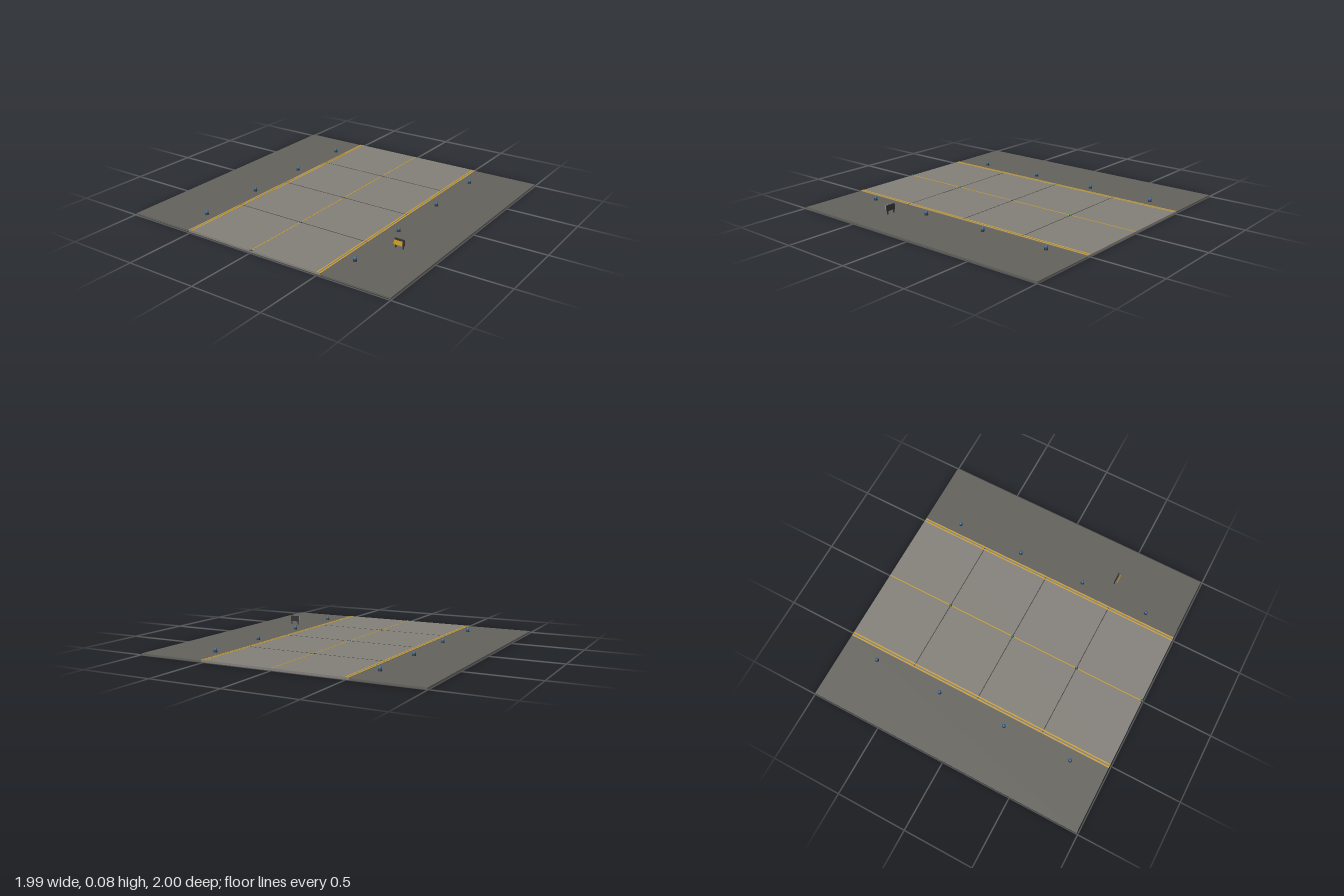
import * as THREE from 'three';

const mat = (color) => new THREE.MeshStandardMaterial({ color });

export function createModel() {
  const root = new THREE.Group();
  const M = {
    concrete: mat(0x827e78), shoulder: mat(0x62605a), joint: mat(0x3c3c3c),
    yellow: mat(0xd0a028), dark: mat(0x333333), blue: mat(0x2f6596), green: mat(0x3fa060),
  };
  const ZC = -0.005; // slab centre, the front inset light overhangs the edge
  const HALF = 0.995, ROAD = 0.52, TOP = 0.014, SIDE_TOP = 0.011;

  const add = (name, geometry, material, x, y, z, parent = root) => {
    const mesh = new THREE.Mesh(geometry, material);
    mesh.name = name;
    mesh.position.set(x, y, z);
    parent.add(mesh);
    return mesh;
  };
  // Box given by its centre x/z and its bottom and top heights
  const box = (name, material, x, z, w, d, y0, y1, parent) =>
    add(name, new THREE.BoxGeometry(w, y1 - y0, d), material, x, (y0 + y1) / 2, z, parent);

  // Pavement and lower shoulders
  box('pavement', M.concrete, 0, ZC, ROAD * 2, HALF * 2, 0, TOP);
  for (const s of [-1, 1]) {
    box('shoulder', M.shoulder, s * (ROAD + HALF) / 2, ZC, HALF - ROAD, HALF * 2, 0, SIDE_TOP);
    // Double edge stripes
    for (const x of [0.495, 0.514])
      box('edgeStripe', M.yellow, s * x, ZC, 0.008, HALF * 2, TOP - 0.001, TOP + 0.001);
  }
  box('centreStripe', M.yellow, 0, ZC, 0.006, HALF * 2, TOP - 0.001, TOP + 0.001);

  // Expansion joints across the pavement
  for (const i of [-1, 0, 1])
    box('joint', M.joint, 0, ZC + i * 0.4975, ROAD * 2, 0.005, TOP - 0.001, TOP + 0.0005);

  // Inset lights along the centre stripe
  for (const i of [-1, 0, 1, 2]) {
    const z = ZC + i * 0.4975;
    add('insetLightRim', new THREE.CylinderGeometry(0.008, 0.01, 0.004, 12), M.dark, 0, TOP + 0.002, z);
    add('insetLightLens', new THREE.CylinderGeometry(0.005, 0.006, 0.003, 12), M.green, 0, TOP + 0.0045, z);
  }

  // Raised edge lights: dark base with a domed lens
  const dome = new THREE.SphereGeometry(0.011, 12, 6, 0, Math.PI * 2, 0, Math.PI / 2);
  for (const s of [-1, 1]) for (let i = 0; i < 4; i++) {
    const light = new THREE.Group();
    light.name = 'edgeLight';
    light.position.set(s * 0.594, SIDE_TOP, ZC + (i - 1.5) * 0.4975);
    root.add(light);
    add('base', new THREE.CylinderGeometry(0.011, 0.013, 0.012, 12), M.dark, 0, 0.006, 0, light);
    add('lens', new THREE.CylinderGeometry(0.011, 0.011, 0.007, 12), M.blue, 0, 0.0155, 0, light);
    add('lensDome', dome, M.blue, 0, 0.019, 0, light);
  }

  // Roadside sign: backing board on two legs, plate set off in front
  const sign = new THREE.Group();
  sign.name = 'sign';
  sign.position.set(0.723, 0, 0.448);
  root.add(sign);
  box('board', M.dark, 0, 0, 0.072, 0.006, 0.034, 0.075, sign);
  box('plate', M.yellow, 0, 0.018, 0.06, 0.003, 0.039, 0.07, sign);
  for (const s of [-1, 1])
    box('leg', M.dark, s * 0.027, 0, 0.006, 0.006, SIDE_TOP, 0.036, sign);

  return root;
}
